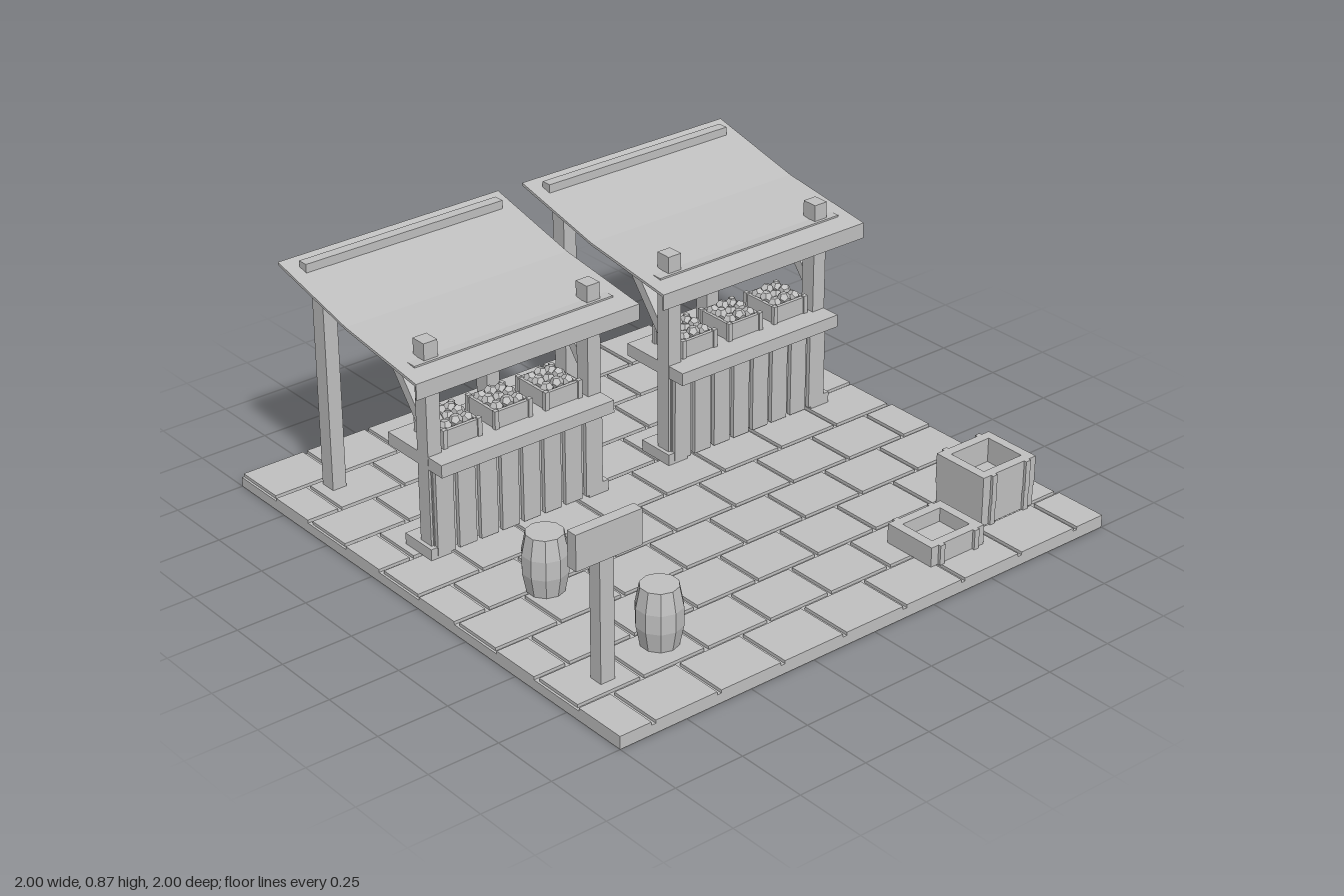
import * as THREE from 'three';

const grey = new THREE.MeshStandardMaterial({ color: 0xc0c0c0 });
grey.name = 'stoneGrey';

function add(parent, name, geometry, x = 0, y = 0, z = 0) {
  const mesh = new THREE.Mesh(geometry, grey);
  mesh.name = name;
  mesh.position.set(x, y, z);
  parent.add(mesh);
  return mesh;
}

// Box given by its x, y and z ranges
function box(parent, name, x0, x1, y0, y1, z0, z1) {
  return add(parent, name, new THREE.BoxGeometry(x1 - x0, y1 - y0, z1 - z0),
    (x0 + x1) / 2, (y0 + y1) / 2, (z0 + z1) / 2);
}

function group(parent, name, x = 0, y = 0, z = 0) {
  const g = new THREE.Group();
  g.name = name;
  g.position.set(x, y, z);
  parent.add(g);
  return g;
}

const FLOOR = 0.045;

// Slab with staggered paving stones
function paving(root) {
  const g = group(root, 'paving');
  box(g, 'slab', -1, 1, 0, 0.034, -1, 1);
  const gap = 0.008, len = 0.25, row = 0.2;
  for (let r = 0; r < 10; r++) {
    const z = -1 + r * row;
    const shift = r % 2 ? len / 2 : 0;
    for (let x = -1 - shift; x < 0.99; x += len) {
      const a = Math.max(-1, x + gap), b = Math.min(1, x + len - gap);
      box(g, 'pavingStone', a, b, 0.034, FLOOR,
        r === 0 ? -1 : z + gap, r === 9 ? 1 : z + row - gap);
    }
  }
}

// Open box with four walls and a floor
function openBox(g, w, h, d, t, floor) {
  box(g, 'floor', -w / 2 + t, w / 2 - t, 0, floor, -d / 2 + t, d / 2 - t);
  for (const s of [-1, 1]) {
    add(g, 'sideWall', new THREE.BoxGeometry(t, h, d), s * (w - t) / 2, h / 2, 0);
    add(g, 'endWall', new THREE.BoxGeometry(w - 2 * t, h, t), 0, h / 2, s * (d - t) / 2);
  }
}

// Crate with upright cleats on front and back
function crate(root, x, y, z, w, h, d) {
  const g = group(root, 'crate', x, y, z);
  openBox(g, w, h, d, 0.033, 0.02);
  for (const sx of [-1, 1]) for (const sz of [-1, 1])
    add(g, 'cleat', new THREE.BoxGeometry(0.02, h, 0.012), sx * 0.075, h / 2, sz * (d / 2 + 0.004));
}

// Small tray heaped with produce
function produceTray(parent, x, y, z) {
  const g = group(parent, 'produceTray', x, y, z);
  openBox(g, 0.14, 0.06, 0.15, 0.012, 0.03);
  for (const sx of [-1, 1]) for (const sz of [-1, 1])
    add(g, 'cornerSlat', new THREE.BoxGeometry(0.016, 0.065, 0.016), sx * 0.067, 0.0325, sz * 0.072);
  for (let i = 0; i < 3; i++) for (let j = 0; j < 3; j++) {
    const fruit = add(g, 'produce', new THREE.DodecahedronGeometry(0.023),
      (i - 1) * 0.041, 0.058 + 0.006 * ((i + j) % 2), (j - 1) * 0.043);
    fruit.rotation.set(i, j * 0.8, i + j);
  }
}

function stall(root, x) {
  const g = group(root, 'stall', x);

  // Canopy with hanging front edge
  const shape = new THREE.Shape([
    [-0.077, 0.67], [-0.077, 0.726], [-0.45, 0.776], [-0.82, 0.864],
    [-0.82, 0.854], [-0.45, 0.767], [-0.084, 0.717], [-0.084, 0.67],
  ].map(([a, b]) => new THREE.Vector2(a, b)));
  const canopy = new THREE.ExtrudeGeometry(shape, { depth: 0.87, bevelEnabled: false });
  canopy.rotateY(-Math.PI / 2);
  canopy.translate(0.435, 0, 0);
  add(g, 'canopy', canopy);
  box(g, 'rearRail', -0.387, 0.387, 0.83, 0.873, -0.77, -0.732);
  box(g, 'frontRail', -0.387, 0.387, 0.70, 0.742, -0.188, -0.152);

  // Posts, feet and braces
  for (const s of [-1, 1]) {
    const px = s * 0.317;
    box(g, 'frontPost', px - 0.026, px + 0.026, FLOOR, 0.8, -0.22, -0.163);
    box(g, 'rearPost', px - 0.026, px + 0.026, FLOOR, 0.8, -0.776, -0.716);
    box(g, 'foot', px - 0.04, px + 0.04, FLOOR, 0.085, -0.285, -0.145);
    const brace = add(g, 'brace', new THREE.BoxGeometry(0.04, 0.28, 0.036), px, 0.594, -0.282);
    brace.rotation.x = -Math.atan2(0.17, 0.21);
  }

  // Counter and planked front
  box(g, 'counterTop', -0.342, 0.342, 0.36, 0.405, -0.38, -0.093);
  box(g, 'backingPanel', -0.335, 0.335, 0.06, 0.36, -0.178, -0.157);
  for (let i = 0; i < 8; i++) {
    const px = -0.298 + i * 0.085;
    box(g, 'frontPlank', px - 0.034, px + 0.034, 0.055, 0.36, -0.158, -0.142);
  }
  for (const tx of [-0.2, 0, 0.2]) produceTray(g, tx, 0.405, -0.252);
}

// Ten-sided faceted barrel
function barrel(root, x, z) {
  const profile = [[0, 0], [0.063, 0], [0.077, 0.07], [0.077, 0.135], [0.063, 0.205], [0, 0.205]];
  const geometry = new THREE.LatheGeometry(profile.map(([r, y]) => new THREE.Vector2(r, y)), 10)
    .toNonIndexed();
  geometry.computeVertexNormals();
  add(root, 'barrel', geometry, x, FLOOR, z);
}

export function createModel() {
  const root = new THREE.Group();
  root.name = 'marketSquare';
  paving(root);
  for (const s of [-1, 1]) stall(root, s * 0.485);

  barrel(root, -0.665, 0.215);
  barrel(root, -0.59, 0.68);

  crate(root, 0.46, FLOOR, 0.785, 0.23, 0.07, 0.2);
  crate(root, 0.76, FLOOR, 0.7, 0.23, 0.073, 0.21);
  crate(root, 0.76, 0.118, 0.7, 0.235, 0.107, 0.215);

  // Blank signboard on a post
  const sign = group(root, 'sign');
  box(sign, 'signPost', -0.873, -0.82, FLOOR, 0.55, 0.703, 0.752);
  box(sign, 'signBoard', -0.973, -0.727, 0.478, 0.6, 0.73, 0.77);
  return root;
}
